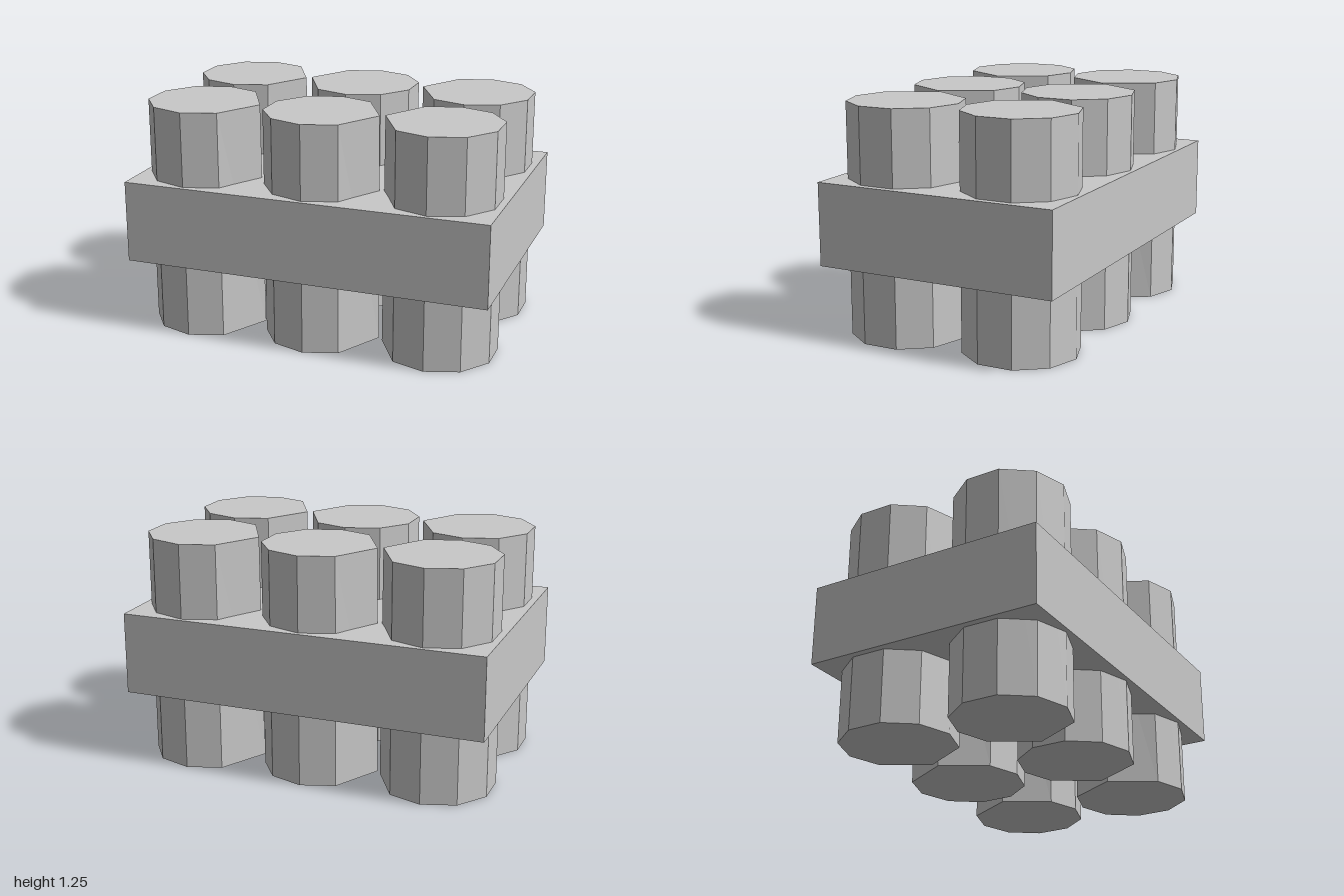
import * as THREE from 'three';

const R = 0.31, HEIGHT = 1.25, TIP = 0.322;

// Ten-sided post whose inward-facing side is pinched into a single, slightly twisted edge.
function postGeometry(side) {
  const pts = [];
  for (let k = 0; k < 10; k++) {
    const a = (k * Math.PI) / 5;
    if (k === 3) continue;
    if (k === 2) pts.push(new THREE.Vector2(TIP, 0));
    else pts.push(new THREE.Vector2(R * Math.sin(a), R * Math.cos(a)));
  }
  const geo = new THREE.ExtrudeGeometry(new THREE.Shape(pts), { depth: HEIGHT, bevelEnabled: false });
  geo.rotateX(-Math.PI / 2);
  // twist the pinched edge: its top leans to +z, its foot to -z
  const p = geo.attributes.position;
  for (let i = 0; i < p.count; i++) {
    if (p.getX(i) > TIP - 0.001) p.setZ(i, p.getY(i) > HEIGHT / 2 ? 0.012 : -0.012);
  }
  if (side < 0) geo.rotateY(Math.PI);
  geo.computeVertexNormals();
  return geo;
}

export function createModel() {
  const model = new THREE.Group();
  model.name = 'studdedBlock';
  const grey = new THREE.MeshStandardMaterial({ color: 0xc8c8c8, flatShading: true });
  grey.name = 'grey';

  // Slab through the middle
  const slab = new THREE.Mesh(new THREE.BoxGeometry(2, 0.445, 1.333), grey);
  slab.name = 'slab';
  slab.position.y = 0.6225;
  model.add(slab);

  // Two rows of three posts passing through the slab
  const geos = { 1: postGeometry(1), [-1]: postGeometry(-1) };
  const posts = new THREE.Group();
  posts.name = 'posts';
  for (const row of [-1, 1]) {
    for (const col of [-1, 0, 1]) {
      const side = col === 0 ? row : -col;
      const post = new THREE.Mesh(geos[side], grey);
      post.name = 'post';
      post.position.set(col * 0.667, 0, row * 0.334);
      posts.add(post);
    }
  }
  model.add(posts);
  return model;
}
